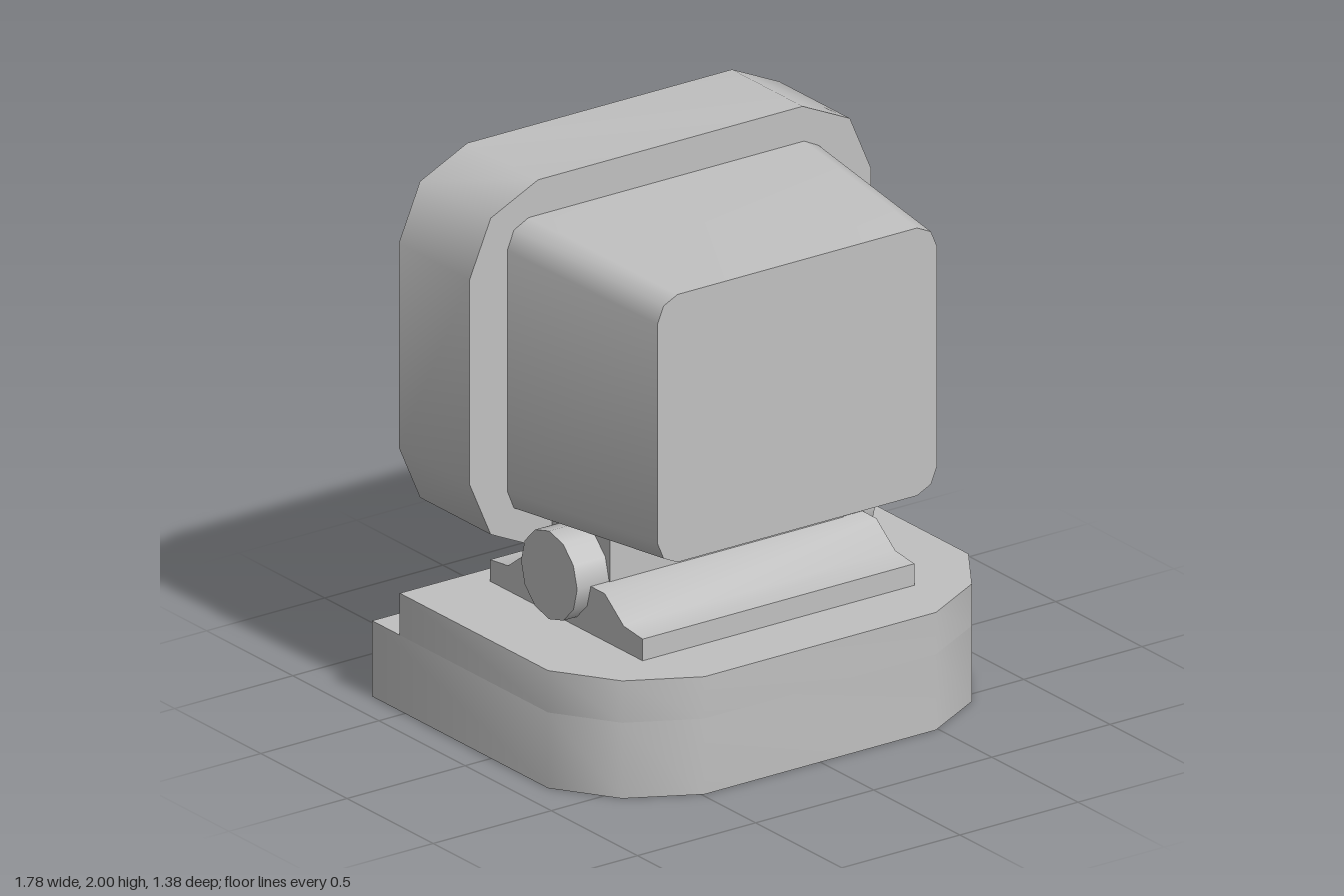
import * as THREE from 'three';
import { toCreasedNormals } from 'three/addons/utils/BufferGeometryUtils.js';

const grey = new THREE.MeshStandardMaterial({ color: 0xc0c0c0 });
grey.name = 'plain grey';

// Twelve-point rectangle with two-step corners, counter-clockwise seen from +z
function ring(cx, cy, hx, hy, cutX, cutY, z) {
  const k = 0.31;
  const corner = [[hx, hy - cutY], [hx - cutX * k, hy - cutY * k], [hx - cutX, hy]];
  const flip = (sx, sy) => corner.map(([x, y]) => [sx * x, sy * y]);
  return [...flip(1, 1), ...flip(-1, 1).reverse(), ...flip(-1, -1), ...flip(1, -1).reverse()]
    .map(([x, y]) => new THREE.Vector3(cx + x, cy + y, z));
}

// Closed skin over rings running from front to back
function loft(rings, crease) {
  const n = rings[0].length;
  const pos = [];
  const tri = (...points) => points.forEach((p) => pos.push(p.x, p.y, p.z));
  const middle = (r) => r.reduce((m, p) => m.add(p), new THREE.Vector3()).divideScalar(n);
  const last = rings[rings.length - 1];
  const frontMid = middle(rings[0]);
  const backMid = middle(last);
  for (let j = 0; j < n; j++) {
    const k = (j + 1) % n;
    tri(frontMid, rings[0][j], rings[0][k]);
    tri(backMid, last[k], last[j]);
    for (let i = 0; i < rings.length - 1; i++) {
      const a = rings[i], b = rings[i + 1];
      tri(a[j], b[j], b[k]);
      tri(a[j], b[k], a[k]);
    }
  }
  const geometry = new THREE.BufferGeometry();
  geometry.setAttribute('position', new THREE.Float32BufferAttribute(pos, 3));
  return toCreasedNormals(geometry, crease);
}

function extrude(points, depth) {
  const shape = new THREE.Shape(points.map(([x, y]) => new THREE.Vector2(x, y)));
  return new THREE.ExtrudeGeometry(shape, { depth, bevelEnabled: false });
}

// Plan outline given as [x, z], raised from y0 to y1
function slab(plan, y0, y1) {
  const geometry = extrude(plan.map(([x, z]) => [x, -z]), y1 - y0);
  geometry.rotateX(-Math.PI / 2).translate(0, y0, 0);
  return toCreasedNormals(geometry, 0.8);
}

export function createModel() {
  const model = new THREE.Group();
  model.name = 'monitor';
  const add = (name, geometry) => {
    const mesh = new THREE.Mesh(geometry, grey);
    mesh.name = name;
    model.add(mesh);
    return mesh;
  };

  // Base with a rounded front and a step cut into one back corner
  const front = [[-0.89, 0.33], [-0.74, 0.555], [-0.49, 0.69], [0.49, 0.69], [0.74, 0.555], [0.89, 0.33]];
  add('baseLower', slab([...front, [0.89, -0.69], [-0.89, -0.69]], 0, 0.28));
  add('baseUpper', slab([...front, [0.89, -0.69], [0.02, -0.69], [-0.21, -0.53], [-0.89, -0.53]], 0.28, 0.435));

  // Stepped cradle, profile in z and y
  const cradle = extrude([
    [0.45, 0.43], [0.45, 0.515], [0.34, 0.527], [0.23, 0.61],
    [-0.22, 0.61], [-0.33, 0.527], [-0.435, 0.515], [-0.435, 0.43],
  ], 1.15);
  cradle.rotateY(-Math.PI / 2).translate(0.573, 0, 0);
  add('cradle', toCreasedNormals(cradle, 0.8));

  // Tilting neck and its pivot barrel
  const neck = add('neck', new THREE.BoxGeometry(0.99, 0.3, 0.335));
  neck.position.set(-0.005, 0.7, -0.013);
  const pivot = add('pivot', new THREE.CylinderGeometry(0.163, 0.163, 1.26, 12));
  pivot.rotation.z = Math.PI / 2;
  pivot.position.set(-0.005, 0.612, -0.013);

  // Tapered tube housing
  add('housing', loft([
    ring(-0.017, 1.325, 0.592, 0.495, 0.085, 0.09, 0.58),
    ring(-0.017, 1.325, 0.673, 0.545, 0.09, 0.1, -0.18),
    ring(-0.017, 1.325, 0.673, 0.545, 0.09, 0.1, -0.2),
  ], 0.8));

  // Screen surround: wall, sloping rim, then the sunken screen
  add('screenSurround', loft([
    ring(0, 1.322, 0.85, 0.678, 0.29, 0.3, -0.18),
    ring(0, 1.322, 0.85, 0.678, 0.29, 0.3, -0.59),
    ring(0, 1.322, 0.69, 0.52, 0.15, 0.15, -0.635),
    ring(0, 1.322, 0.63, 0.47, 0.11, 0.11, -0.595),
    ring(0, 1.322, 0.5, 0.36, 0.08, 0.08, -0.588),
  ], 1.1));

  return model;
}
